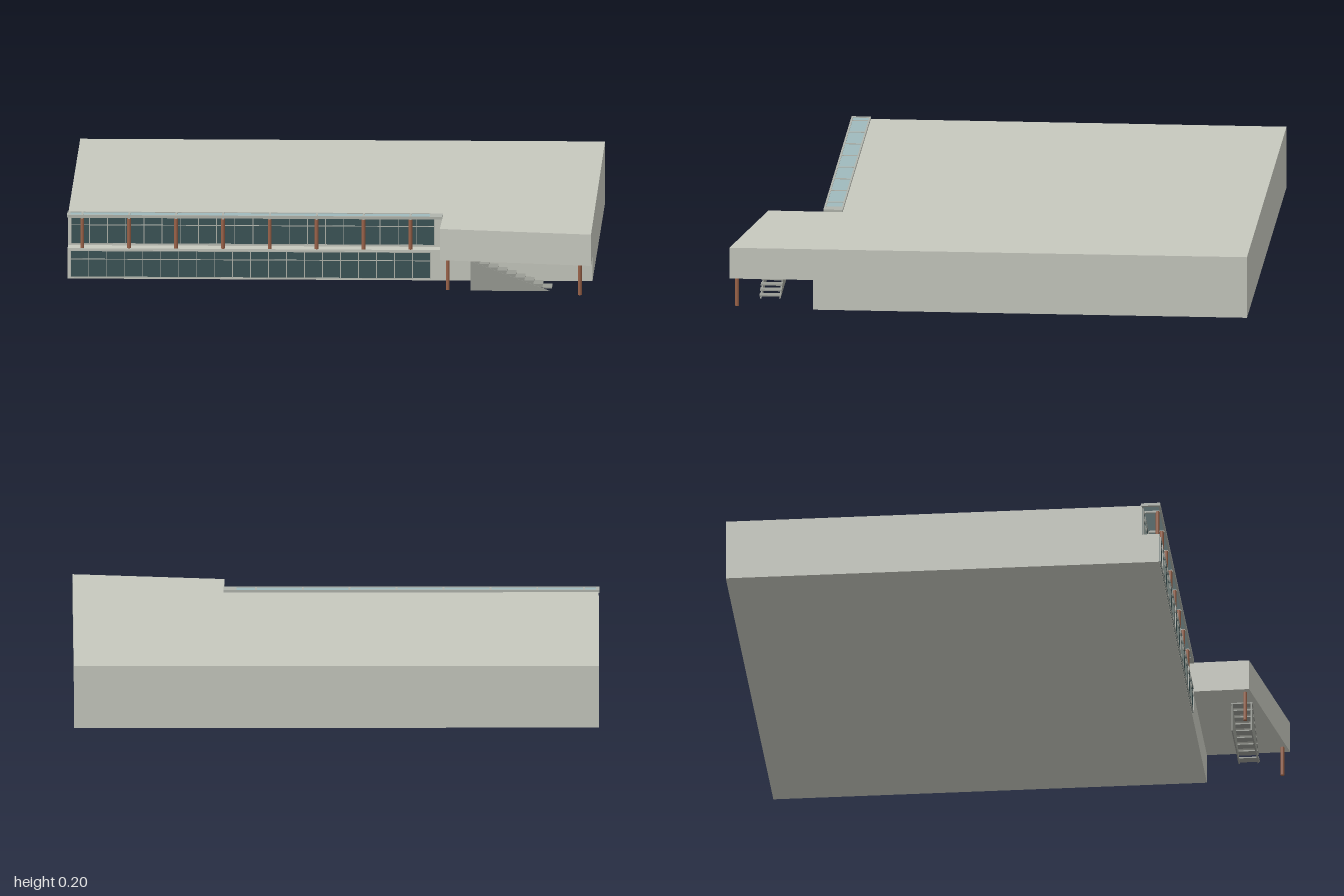
import * as THREE from 'three';

const material = (color, side = THREE.FrontSide) =>
  new THREE.MeshStandardMaterial({ color, side });

export function createModel() {
  const model = new THREE.Group();
  model.name = 'building';
  // The plan is laid out along the facade (x) and outwards from it (z), then turned.
  const plan = new THREE.Group();
  plan.name = 'turnedPlan';
  plan.rotation.y = 0.2758;
  model.add(plan);

  const concrete = material(0xc6c8be);
  const frame = material(0xb0b4ac);
  const glass = material(0x3a5456);
  const paleGlass = material(0x9fb9bc);
  const timber = material(0x9a6248);
  const stairMat = material(0x999b94);

  const add = (parent, name, geometry, mat) => {
    const mesh = new THREE.Mesh(geometry, mat);
    mesh.name = name;
    parent.add(mesh);
    return mesh;
  };
  // Box given by its minimum and maximum on each axis
  const box = (parent, name, mat, [x0, x1], [y0, y1], [z0, z1]) => {
    const g = new THREE.BoxGeometry(x1 - x0, y1 - y0, z1 - z0);
    g.translate((x0 + x1) / 2, (y0 + y1) / 2, (z0 + z1) / 2);
    return add(parent, name, g, mat);
  };
  // Storey from a plan outline of [x, z] corners
  const storey = (name, corners, y0, y1) => {
    const shape = new THREE.Shape(corners.map(([x, z]) => new THREE.Vector2(x, -z)));
    const g = new THREE.ExtrudeGeometry(shape, { depth: y1 - y0, bevelEnabled: false });
    g.rotateX(-Math.PI / 2).translate(0, y0, 0);
    return add(plan, name, g, concrete);
  };

  // Main volumes: ground floor, and upper floor with a projecting wing
  storey('groundFloor', [[-0.848, 0.657], [0.772, 0.657], [0.772, -0.686], [-0.848, -0.686]], 0, 0.095);
  storey('upperFloor', [
    [-0.848, 0.603], [0.309, 0.603], [0.306, 0.83], [0.775, 0.915],
    [0.772, -0.686], [-0.848, -0.686],
  ], 0.095, 0.193);

  // Glazed bands with a mullion grid
  const glazing = (name, x0, x1, y0, y1, z) => {
    const group = new THREE.Group();
    group.name = name;
    plan.add(group);
    box(group, 'glass', glass, [x0, x1], [y0, y1], [z - 0.004, z + 0.002]);
    const bays = 20;
    for (let i = 0; i <= bays; i++) {
      const x = x0 + ((x1 - x0) * i) / bays;
      box(group, 'mullion', frame, [x - 0.0012, x + 0.0012], [y0, y1], [z, z + 0.004]);
    }
    for (const t of [0, 0.68, 1]) {
      const y = y0 + (y1 - y0) * t;
      box(group, 'transom', frame, [x0, x1], [y - 0.0012, y + 0.0012], [z, z + 0.004]);
    }
  };
  glazing('lowerGlazing', -0.838, 0.272, 0.006, 0.088, 0.658);
  glazing('upperGlazing', -0.838, 0.283, 0.101, 0.187, 0.604);

  // Glass canopy over the balcony, with a beam and post at each bay
  const canopy = new THREE.Group();
  canopy.name = 'canopy';
  plan.add(canopy);
  box(canopy, 'canopyGlass', paleGlass, [-0.842, 0.272], [0.194, 0.198], [0.604, 0.655]);
  box(canopy, 'frontEdge', frame, [-0.85, 0.309], [0.191, 0.2], [0.654, 0.66]);
  box(canopy, 'rearEdge', frame, [-0.85, 0.309], [0.191, 0.2], [0.6, 0.605]);
  box(canopy, 'leftEnd', frame, [-0.85, -0.84], [0.191, 0.2], [0.6, 0.66]);
  box(canopy, 'rightEnd', frame, [0.27, 0.309], [0.191, 0.2], [0.6, 0.66]);

  const post = (name, x, z, y0, y1, r) => {
    const mesh = add(plan, name, new THREE.CylinderGeometry(r, r, y1 - y0, 12), timber);
    mesh.position.set(x, (y0 + y1) / 2, z);
  };
  for (let i = 0; i < 8; i++) {
    const x = -0.803 + i * 0.1447;
    box(canopy, 'beam', frame, [x - 0.003, x + 0.003], [0.188, 0.2], [0.603, 0.656]);
    post('balconyPost', x, 0.648, 0.095, 0.191, 0.006);
  }
  post('wingPost', 0.33, 0.816, 0, 0.095, 0.006);
  post('wingPost', 0.74, 0.894, 0, 0.095, 0.006);

  // Stair under the wing: two triangular side walls, sloped soffit and treads
  const stair = new THREE.Group();
  stair.name = 'stair';
  plan.add(stair);
  const side = new THREE.Shape([
    new THREE.Vector2(0.4, 0), new THREE.Vector2(0.645, 0), new THREE.Vector2(0.4, 0.092),
  ]);
  for (const z of [0.767, 0.826]) {
    const g = new THREE.ExtrudeGeometry(side, { depth: 0.004, bevelEnabled: false });
    g.translate(0, 0, z);
    add(stair, 'stairSide', g, stairMat);
  }
  const steps = 9;
  for (let i = 0; i < steps; i++) {
    const x = 0.4 + (i * 0.25) / steps;
    const y = 0.094 - (i * 0.092) / steps;
    box(stair, 'tread', stairMat, [x, x + 0.03], [y - 0.004, y], [0.765, 0.832]);
  }

  return model;
}
